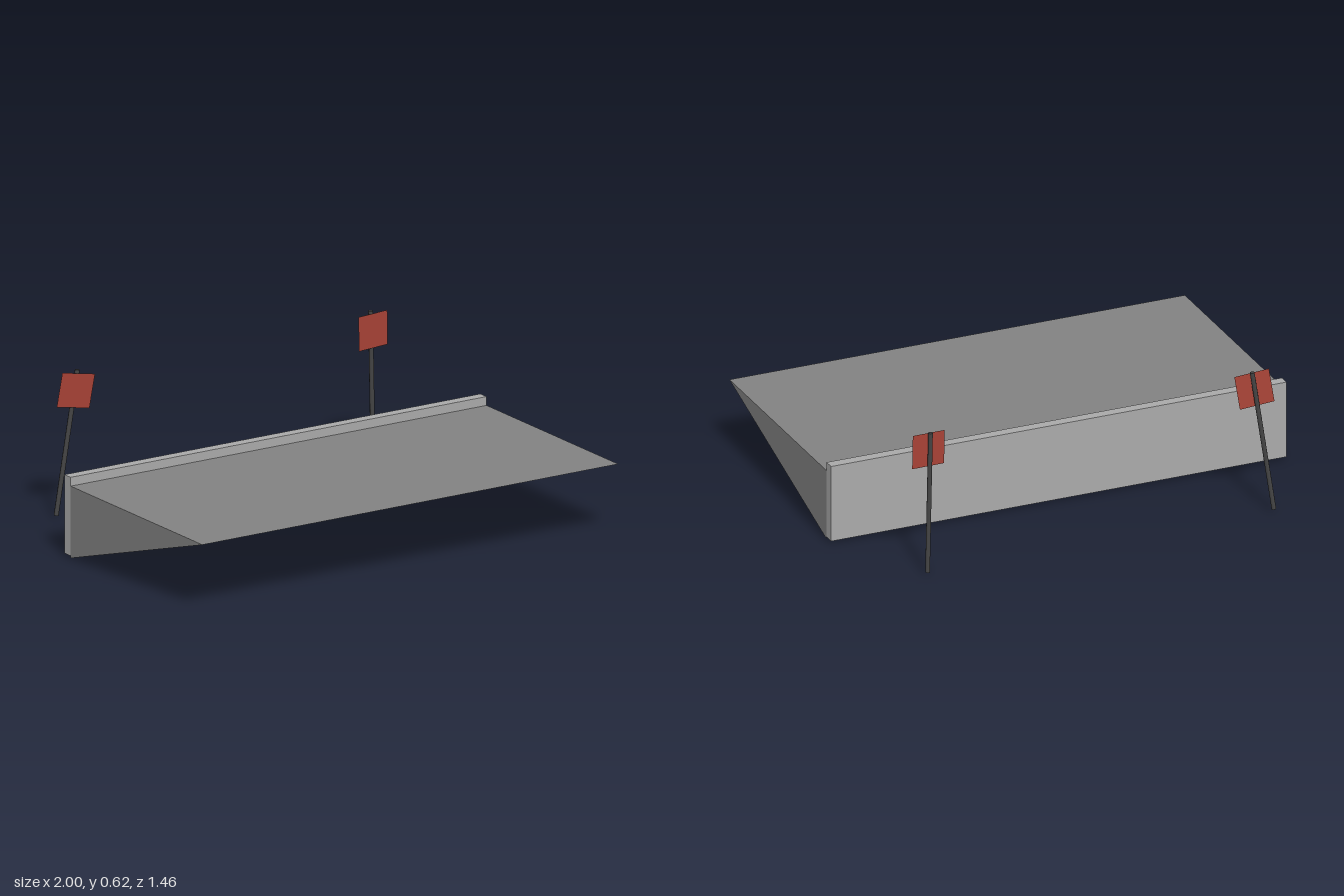
import * as THREE from 'three';

const mat = (name, color, side = THREE.FrontSide) => {
  const m = new THREE.MeshStandardMaterial({ color, side });
  m.name = name;
  return m;
};

export function createModel() {
  const concrete = mat('light concrete', 0xaaaaaa);
  const deckGrey = mat('deck grey', 0x828282, THREE.DoubleSide);
  const postGrey = mat('dark post', 0x444444);
  const signRed = mat('sign red', 0xa84236, THREE.DoubleSide);

  const model = new THREE.Group();
  model.name = 'loadingRamp';
  const add = (parent, name, geometry, material) => {
    const mesh = new THREE.Mesh(geometry, material);
    mesh.name = name;
    parent.add(mesh);
    return mesh;
  };

  // Upright end wall
  add(model, 'endWall', new THREE.BoxGeometry(2, 0.33, 0.045), concrete)
    .position.set(0, 0.174, -0.2535);

  // Flat deck, open underneath
  const front = 0.728, back = -0.231, deckY = 0.302;
  const deck = add(model, 'deck', new THREE.PlaneGeometry(2, front - back), deckGrey);
  deck.rotation.x = -Math.PI / 2;
  deck.position.set(0, deckY, (front + back) / 2);

  // Triangular side panels, drawn in (z, y) and turned to face outwards
  for (const side of [1, -1]) {
    const panel = new THREE.Shape([
      new THREE.Vector2(-side * front, deckY),
      new THREE.Vector2(-side * back, deckY),
      new THREE.Vector2(-side * back, 0),
    ]);
    const mesh = add(model, side > 0 ? 'leftPanel' : 'rightPanel', new THREE.ShapeGeometry(panel), deckGrey);
    mesh.rotation.y = side * Math.PI / 2;
    mesh.position.x = side;
  }

  // Leaning marker post with a thin square sign in front of it
  const marker = (name, base, top, signAt, signTurn) => {
    const group = new THREE.Group();
    group.name = name;
    model.add(group);
    const a = new THREE.Vector3(...base), b = new THREE.Vector3(...top);
    const dir = b.clone().sub(a);
    const post = add(group, 'post', new THREE.CylinderGeometry(0.01, 0.01, dir.length(), 8), postGrey);
    post.position.copy(a).add(b).multiplyScalar(0.5);
    post.quaternion.setFromUnitVectors(new THREE.Vector3(0, 1, 0), dir.normalize());
    const sign = add(group, 'sign', new THREE.PlaneGeometry(0.145, 0.145), signRed);
    sign.position.set(...signAt);
    sign.rotation.set(...signTurn);
  };
  marker('rightMarker', [-0.748, 0.012, -0.718], [-0.665, 0.617, -0.69],
    [-0.681, 0.535, -0.676], [0.05, -0.17, -0.14]);
  marker('leftMarker', [0.769, 0.012, -0.709], [0.753, 0.62, -0.702],
    [0.755, 0.54, -0.686], [0.012, 0.07, 0.026]);

  return model;
}
